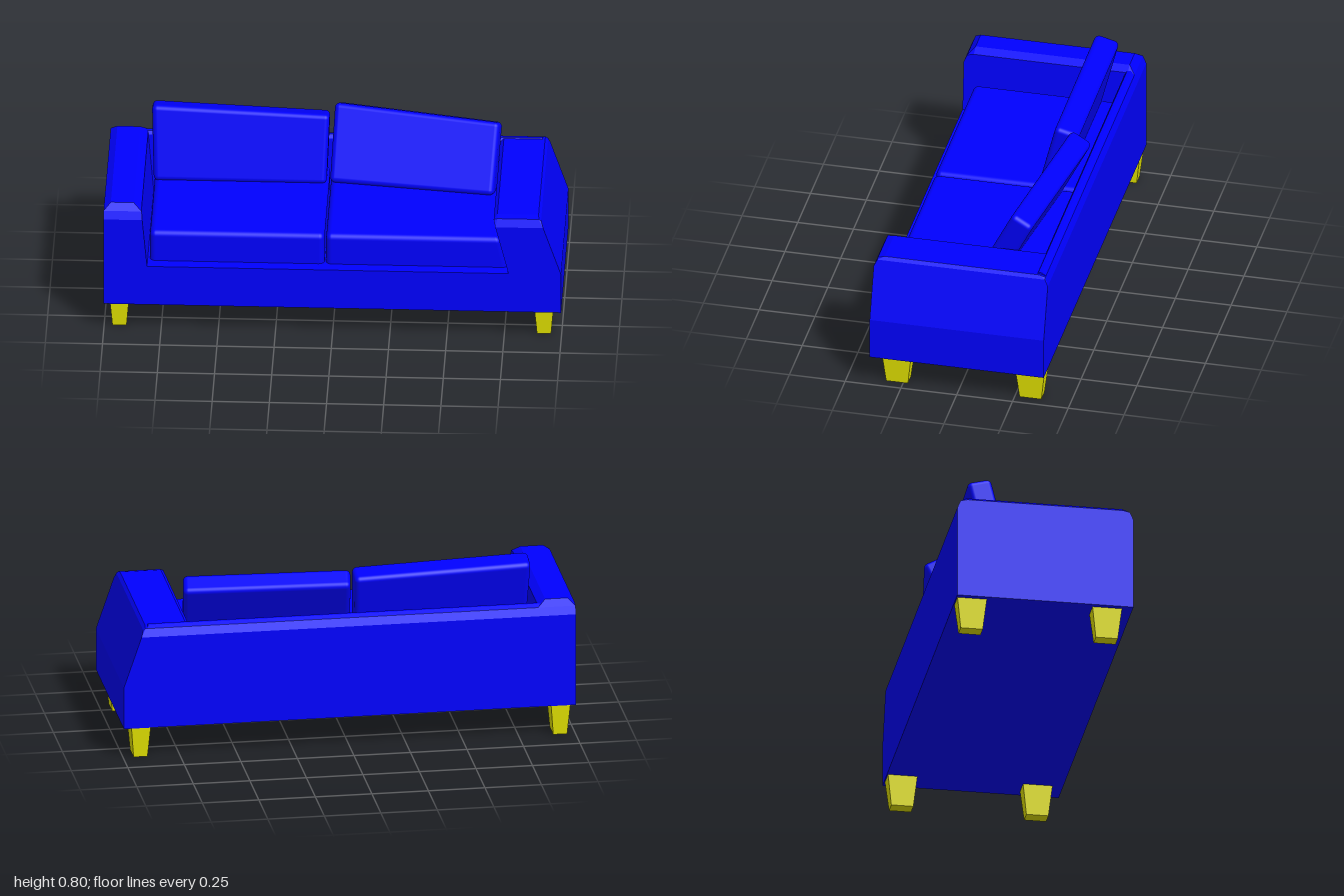
import * as THREE from 'three';
import { RoundedBoxGeometry } from 'three/addons/geometries/RoundedBoxGeometry.js';
import { ConvexGeometry } from 'three/addons/geometries/ConvexGeometry.js';

const fabric = new THREE.MeshStandardMaterial({ color: 0x0000ff });
const wood = new THREE.MeshStandardMaterial({ color: 0xe6e600 });

function addMesh(parent, name, geometry, material) {
  const mesh = new THREE.Mesh(geometry, material);
  mesh.name = name;
  parent.add(mesh);
  return mesh;
}

// Move every vertex of a geometry by a rule
function deform(geometry, rule) {
  const pos = geometry.attributes.position;
  const v = new THREE.Vector3();
  for (let i = 0; i < pos.count; i++) {
    rule(v.fromBufferAttribute(pos, i));
    pos.setXYZ(i, v.x, v.y, v.z);
  }
  return geometry;
}

// Arm: an x-y profile run front to back, its ends bevelled at the top
function armGeometry(profile) {
  const ends = [[0.39, 0.56], [0.375, 0.595], [0.345, 1]];
  const points = [];
  for (const [z, cap] of ends) {
    for (const side of [1, -1]) {
      for (let i = 0; i < profile.length; i++) {
        const [x, y] = profile[i];
        let px = x;
        // lowered points slide along the side they belong to
        if (y > cap) {
          const base = x * Math.sign(x) > 0.88 ? profile[1] : profile[0];
          const k = (cap - base[1]) / (y - base[1]);
          px = base[0] + (x - base[0]) * k;
        }
        points.push(new THREE.Vector3(px, Math.min(y, cap), z * side));
      }
    }
  }
  return new ConvexGeometry(points);
}

// Seat cushion whose right side can lean inwards towards the top
function seatCushion(x0, x1, lean) {
  const [y0, y1, z0, z1] = [0.3, 0.474, -0.31, 0.335];
  const geo = new RoundedBoxGeometry(x1 - x0, y1 - y0, z1 - z0, 4, 0.025);
  geo.translate((x0 + x1) / 2, (y0 + y1) / 2, (z0 + z1) / 2);
  return deform(geo, (v) => {
    const u = (v.x - x0) / (x1 - x0);
    const h = (v.y - y0) / (y1 - y0);
    v.x -= lean * u * h * h;
  });
}

// Back cushion, with its lower front edge as the pivot
function backCushion(w, h, t, taper, drop) {
  const geo = new RoundedBoxGeometry(w, h, t, 4, 0.022);
  geo.translate(0, h / 2, -t / 2);
  return deform(geo, (v) => {
    const k = v.y / h;
    v.y -= drop * (v.x / w) * k;
    v.x *= 1 + taper * k;
  });
}

export function createModel() {
  const sofa = new THREE.Group();
  sofa.name = 'sofa';

  // Base
  const base = addMesh(sofa, 'base', new THREE.BoxGeometry(2, 0.19, 0.78), fabric);
  base.position.y = 0.235;

  // Arms: the left one leans outwards at its foot, the right one is upright
  addMesh(sofa, 'leftArm', armGeometry([
    [0.77, 0.33], [1, 0.33], [0.912, 0.588], [0.9, 0.602], [0.72, 0.602], [0.705, 0.59],
  ]), fabric);
  addMesh(sofa, 'rightArm', armGeometry([
    [-0.81, 0.33], [-1, 0.33], [-1, 0.602], [-0.97, 0.622], [-0.87, 0.622], [-0.835, 0.602],
  ]), fabric);

  // Backrest with a bevelled top
  const backProfile = [
    [-0.39, 0.33], [-0.39, 0.56], [-0.375, 0.595], [-0.355, 0.606],
    [-0.34, 0.606], [-0.33, 0.59], [-0.305, 0.33],
  ];
  const backPoints = backProfile.flatMap(([z, y]) => [
    new THREE.Vector3(-0.97, y, z),
    new THREE.Vector3(0.97 - Math.max(0, y - 0.33) * 0.3, y, z),
  ]);
  addMesh(sofa, 'backrest', new ConvexGeometry(backPoints), fabric);

  // Seat cushions
  addMesh(sofa, 'rightSeatCushion', seatCushion(-0.8, -0.037, 0), fabric);
  addMesh(sofa, 'leftSeatCushion', seatCushion(-0.03, 0.768, 0.04), fabric);

  // Back cushions, the left one turned askew
  const right = addMesh(sofa, 'rightBackCushion', backCushion(0.755, 0.327, 0.11, 0.03, 0.03), fabric);
  right.position.set(-0.425, 0.472, -0.125);
  right.rotation.x = -0.25;

  const left = addMesh(sofa, 'leftBackCushion', backCushion(0.725, 0.335, 0.105, 0.01, 0.03), fabric);
  left.position.set(0.325, 0.482, -0.083);
  left.rotation.set(-0.47, -0.128, 0, 'YXZ');

  // Tapered legs
  for (const [sx, x] of [['left', 0.923], ['right', -0.933]]) {
    for (const [sz, z] of [['Front', 0.278], ['Back', -0.32]]) {
      const geo = deform(new THREE.BoxGeometry(0.085, 0.14, 0.13), (v) => {
        if (v.y < 0) {
          v.x *= 0.72;
          v.z *= 0.75;
        }
      });
      geo.computeVertexNormals();
      addMesh(sofa, `${sx}${sz}Leg`, geo, wood).position.set(x, 0.07, z);
    }
  }

  return sofa;
}
